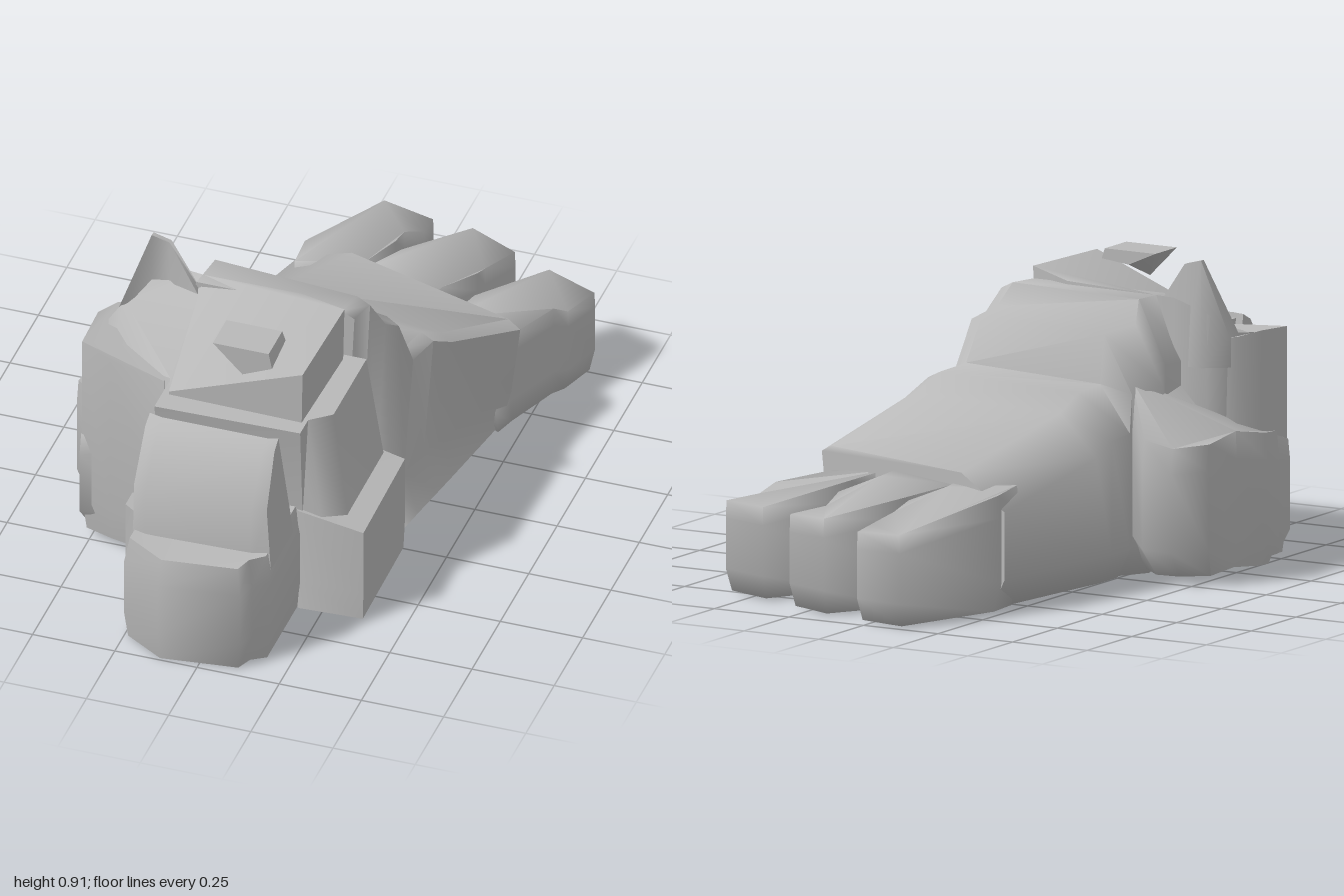
import * as THREE from 'three';
import { toCreasedNormals } from 'three/addons/utils/BufferGeometryUtils.js';

const stone = new THREE.MeshStandardMaterial({ color: 0xb8b8b8 });
stone.name = 'stone grey';

// Closed skin over a stack of rings; u and v are the axes the end caps are flattened on
function loft(rings, u, v, crease = 1.2) {
  const n = rings[0].length;
  const tris = [];
  for (let r = 0; r < rings.length - 1; r++) {
    for (let i = 0; i < n; i++) {
      const j = (i + 1) % n;
      const a = rings[r][i], b = rings[r][j], c = rings[r + 1][j], d = rings[r + 1][i];
      tris.push([a, b, c], [a, c, d]);
    }
  }
  const cap = (ring, first) => {
    const flat = ring.map((p) => new THREE.Vector2(p[u], p[v]));
    const flip = THREE.ShapeUtils.isClockWise(flat);
    for (const f of THREE.ShapeUtils.triangulateShape(flat, [])) {
      const p = f.map((k) => ring[k]);
      // follow the ring's direction at the far end, oppose it at the near end
      const area = (p[1][u] - p[0][u]) * (p[2][v] - p[0][v]) - (p[1][v] - p[0][v]) * (p[2][u] - p[0][u]);
      const sameAsRing = (area < 0) === flip;
      tris.push(sameAsRing !== first ? p : [p[0], p[2], p[1]]);
    }
  };
  cap(rings[0], true);
  cap(rings[rings.length - 1], false);
  // turn the skin outwards
  let volume = 0;
  for (const [a, b, c] of tris) {
    volume += a[0] * (b[1] * c[2] - b[2] * c[1]) + a[1] * (b[2] * c[0] - b[0] * c[2]) + a[2] * (b[0] * c[1] - b[1] * c[0]);
  }
  const pos = tris.flatMap((t) => (volume < 0 ? [t[0], t[2], t[1]] : t)).flat();
  const geo = new THREE.BufferGeometry();
  geo.setAttribute('position', new THREE.Float32BufferAttribute(pos, 3));
  return toCreasedNormals(geo, crease);
}

// Upright rock: outline of [x, z, topHeight], levels of [height fraction, scale]
function rock(outline, base, levels, crease) {
  const cx = outline.reduce((s, p) => s + p[0], 0) / outline.length;
  const cz = outline.reduce((s, p) => s + p[1], 0) / outline.length;
  return loft(levels.map(([t, s]) => outline.map(([x, z, top]) =>
    [cx + (x - cx) * s, base + t * (top - base), cz + (z - cz) * s])), 0, 2, crease);
}

export function createModel() {
  const group = new THREE.Group();
  const add = (name, geo) => {
    const mesh = new THREE.Mesh(geo, stone);
    mesh.name = name;
    group.add(mesh);
  };
  const straight = [[0, 1], [1, 1]];

  // Foot: slanted stations of [left x, left z, right x, right z, top height]
  const stations = [
    [-0.34, 0.25, 0.22, 0.25, 0.80],
    [-0.34, 0.12, 0.24, 0.17, 0.80],
    [-0.35, 0.09, 0.28, 0.15, 0.73],
    [-0.30, 0.00, 0.31, 0.12, 0.71],
    [-0.31, -0.03, 0.34, 0.08, 0.57],
    [-0.31, -0.13, 0.36, -0.04, 0.56],
    [-0.30, -0.20, 0.39, -0.12, 0.51],
    [-0.25, -0.63, 0.50, -0.40, 0.39],
  ];
  add('foot', loft(stations.map(([xl, zl, xr, zr, top]) => {
    const at = (x, y) => [x, y, zl + (zr - zl) * (x - xl) / (xr - xl)];
    return [
      at(xl + 0.05, 0.01), at(xl, 0.1), at(xl, top * 0.77), at(xl + 0.08 + (0.25 - zl) * 0.11, top),
      at(xr - 0.04, top), at(xr, top - 0.02), at(xr - 0.03, 0.14), at(0.37 - 0.17 * zr, 0.015),
    ];
  }), 0, 1));

  // Toes
  const toes = [
    [[-0.23, -0.52, 0.36], [-0.24, -0.64, 0.35], [-0.12, -1.0, 0.28], [0.04, -0.97, 0.27], [0.04, -0.89, 0.28],
      [0.0, -0.83, 0.31], [0.0, -0.75, 0.33], [-0.04, -0.6, 0.35], [-0.04, -0.5, 0.36]],
    [[-0.04, -0.56, 0.35], [0.03, -0.72, 0.33], [0.17, -0.94, 0.29], [0.32, -0.88, 0.28], [0.27, -0.76, 0.29],
      [0.27, -0.69, 0.32], [0.21, -0.55, 0.35], [0.2, -0.45, 0.36]],
    [[0.27, -0.43, 0.34], [0.3, -0.57, 0.33], [0.44, -0.83, 0.28], [0.6, -0.77, 0.275], [0.56, -0.65, 0.28],
      [0.53, -0.61, 0.31], [0.46, -0.43, 0.32], [0.44, -0.36, 0.32]],
  ];
  toes.forEach((toe, i) => add('toe' + (i + 1), rock(toe, 0.01, [[0, 0.92], [0.25, 1], [0.8, 1], [1, 0.99]], 1.7)));

  // Ankle, with a raised splinter at the back of its broken top
  add('ankle', rock([
    [-0.49, 0.36, 0.69], [-0.44, 0.5, 0.665], [-0.24, 0.54, 0.66], [-0.22, 0.61, 0.665], [0.19, 0.62, 0.825],
    [0.2, 0.28, 0.83], [0.05, 0.22, 0.81], [-0.25, 0.21, 0.8], [-0.32, 0.2, 0.8], [-0.42, 0.22, 0.76], [-0.47, 0.27, 0.7],
  ], 0.01, [[0, 0.88], [0.15, 0.97], [0.5, 0.98], [1, 1]]));
  add('splinter', rock([
    [-0.48, 0.3, 0.69], [-0.405, 0.225, 0.915], [-0.35, 0.225, 0.9], [-0.23, 0.28, 0.75],
    [-0.23, 0.25, 0.75], [-0.35, 0.21, 0.9], [-0.405, 0.21, 0.915], [-0.47, 0.26, 0.69],
  ], 0.6, straight));
  add('topChip', loft([[0.6, 0.81, 0.77], [0.48, 0.83, 0.82]].map(([z, side, tip]) => [
    [-0.09, 0.86, z], [0.08, 0.86, z], [0.09, side, z], [0.0, tip, z],
  ]), 0, 1));

  // Collar across the front of the ankle
  add('collar', loft([
    [[-0.24, 0.01, 0.6], [0.18, 0.01, 0.6]],
    [[-0.24, 0.33, 0.62], [0.19, 0.33, 0.62]],
    [[-0.24, 0.655, 0.68], [0.2, 0.655, 0.67]],
  ].map(([a, b]) => [a, b, [b[0], b[1], 0.35], [a[0], a[1], 0.35]]), 0, 2));

  // Heel and the slab standing on it
  add('heel', rock([
    [-0.24, 0.55, 0.34], [-0.25, 0.75, 0.345], [-0.25, 0.92, 0.35], [-0.12, 1.0, 0.35], [0.12, 0.97, 0.35],
    [0.14, 0.92, 0.355], [0.185, 0.89, 0.36], [0.185, 0.55, 0.36],
  ], 0.005, [[0, 0.95], [0.25, 1], [0.75, 1], [1, 0.93]]));
  const slab = [[0.88, 0.3], [0.87, 0.5], [0.77, 0.64], [0.73, 0.66], [0.68, 0.3]];
  add('heelSlab', loft([-0.24, -0.2, 0.12, 0.18].map((x, i) =>
    slab.map(([z, y]) => [x - (i === 3 ? (y - 0.3) * 0.08 : 0), y, z - (i % 3 ? 0 : 0.01)])), 2, 1));
  add('heelFin', rock([
    [-0.3, 0.7, 0.35], [-0.3, 0.76, 0.35], [-0.23, 0.8, 0.34], [-0.23, 0.66, 0.34],
  ], 0.02, straight));

  // Rocks on the left side
  add('leftRock', rock([
    [0.1, 0.24, 0.38], [0.37, 0.24, 0.315], [0.375, 0.62, 0.31], [0.18, 0.63, 0.35], [0.1, 0.55, 0.38],
  ], 0.005, [[0, 0.98], [0.3, 1], [1, 1]]));
  add('leftFlake', loft([
    [0.31, 0.32, 0.25, 0.62], [0.26, 0.655, 0.26, 0.6],
  ].map(([x, y, z0, z1]) => [[0.1, y, z0], [x, y, z0], [x, y, z1 - 0.05], [x - 0.06, y, z1], [0.1, y, z1]]), 0, 2));

  // Rocks on the right side; the low one climbs towards the ankle
  add('rightRock', rock([
    [-0.53, 0.5, 0.36], [-0.53, 0.38, 0.4], [-0.56, 0.34, 0.41], [-0.6, 0.32, 0.42], [-0.59, 0.27, 0.42],
    [-0.53, 0.2, 0.43], [-0.545, 0.02, 0.42], [-0.46, -0.05, 0.41], [-0.37, -0.06, 0.43], [-0.28, 0.02, 0.58],
    [-0.26, 0.28, 0.65], [-0.3, 0.5, 0.45],
  ], 0.03, [[0, 0.82], [0.2, 1], [0.8, 1], [1, 0.97]]));
  add('rightFlake', rock([
    [-0.525, 0.49, 0.69], [-0.525, 0.35, 0.7], [-0.49, 0.27, 0.69], [-0.4, 0.25, 0.68], [-0.3, 0.4, 0.66],
    [-0.25, 0.56, 0.66], [-0.43, 0.52, 0.665],
  ], 0.03, [[0, 0.9], [0.15, 1], [1, 1]]));
  return group;
}
